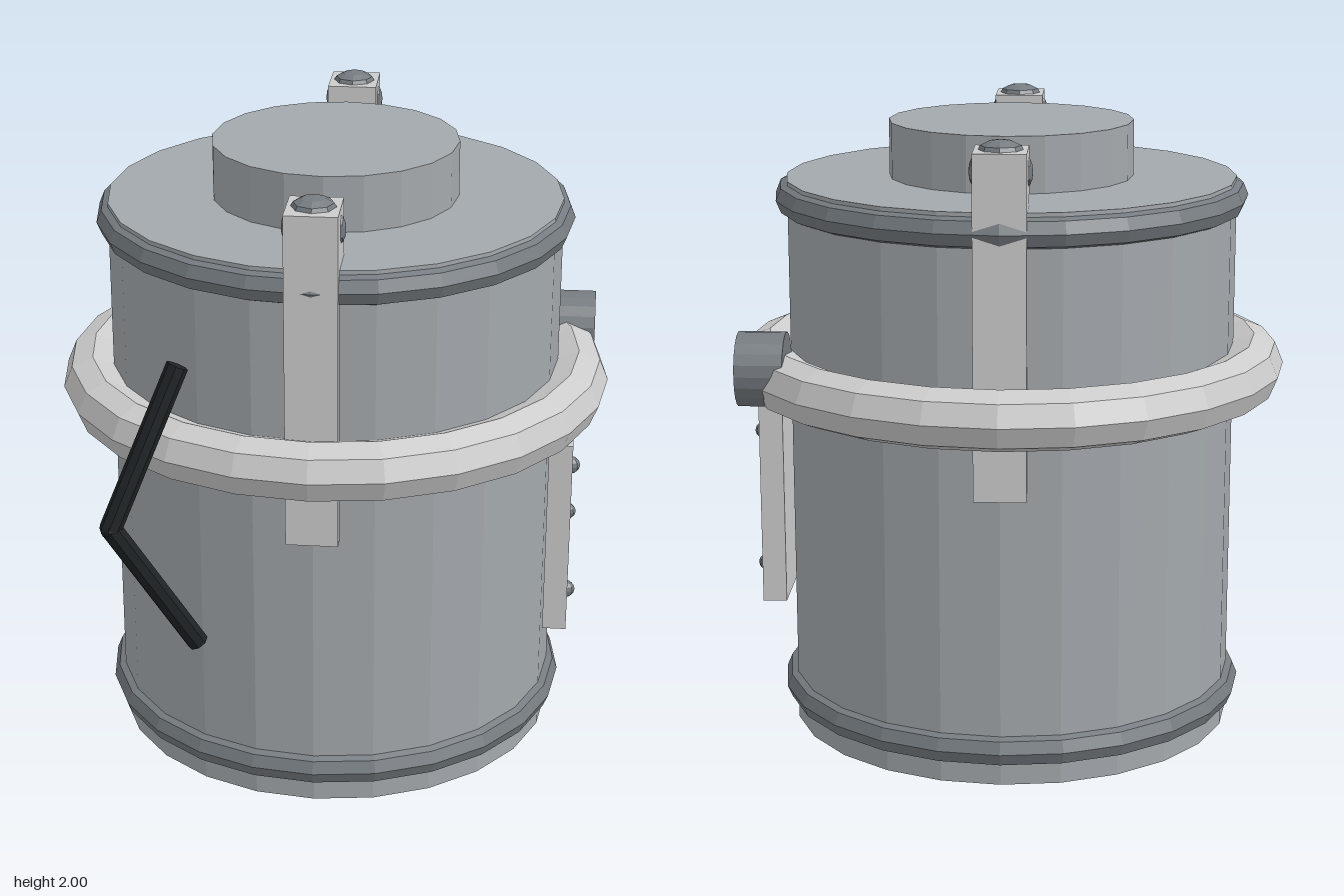
import * as THREE from 'three';

const ZC = -0.015; // axis of the drum

const material = (color) => new THREE.MeshStandardMaterial({ color, flatShading: true });
const light = material(0xcccccc);
const steel = material(0xa3a8ac);
const dark = material(0x757b80);
const black = material(0x1e2224);

function add(parent, name, geometry, mat, x = 0, y = 0, z = 0) {
  const mesh = new THREE.Mesh(geometry, mat);
  mesh.name = name;
  mesh.position.set(x, y, z);
  parent.add(mesh);
  return mesh;
}

// Horizontal hoop around the drum
function hoop(parent, name, radius, tube, mat, y) {
  const geometry = new THREE.TorusGeometry(radius, tube, 8, 24).rotateX(Math.PI / 2);
  return add(parent, name, geometry, mat, 0, y, 0);
}

// Straight rod between two points
function rod(parent, name, a, b, radius, mat) {
  const dir = b.clone().sub(a);
  const mesh = add(parent, name, new THREE.CylinderGeometry(radius, radius, dir.length(), 8), mat);
  mesh.position.copy(a).add(b).multiplyScalar(0.5);
  mesh.quaternion.setFromUnitVectors(new THREE.Vector3(0, 1, 0), dir.normalize());
  return mesh;
}

// Clamp on the +z side: strap, top block and bolts
function createClamp(name) {
  const clamp = new THREE.Group();
  clamp.name = name;
  add(clamp, 'strap', new THREE.BoxGeometry(0.16, 1.05, 0.05), light, 0, 1.445, 0.723);
  add(clamp, 'clampBlock', new THREE.BoxGeometry(0.16, 0.18, 0.18), light, 0, 1.88, 0.658);
  const topBolt = new THREE.SphereGeometry(0.07, 8, 6).scale(1, 0.5, 1);
  add(clamp, 'topBolt', topBolt, dark, 0, 1.965, 0.655);
  for (const side of [-1, 1]) {
    const sideBolt = new THREE.SphereGeometry(1, 6, 6).rotateZ(Math.PI / 2).scale(0.018, 0.045, 0.028);
    add(clamp, 'sideBolt', sideBolt, dark, side * 0.077, 1.905, 0.66);
  }
  return clamp;
}

export function createModel() {
  const model = new THREE.Group();
  model.name = 'drum';

  // Drum, lid cap and hoops share one axis
  const body = new THREE.Group();
  body.name = 'body';
  body.position.z = ZC;
  model.add(body);
  add(body, 'shell', new THREE.CylinderGeometry(0.72, 0.72, 1.793, 24), steel, 0, 0.8965, 0);
  add(body, 'lidCap', new THREE.CylinderGeometry(0.39, 0.39, 0.19, 20), steel, 0, 1.875, 0);
  hoop(body, 'topHoop', 0.703, 0.054, dark, 1.733);
  hoop(body, 'bottomHoop', 0.703, 0.054, dark, 0.112);
  hoop(body, 'middleRing', 0.787, 0.095, light, 1.185);

  // Clamps at front and back
  const frontClamp = createClamp('frontClamp');
  const backClamp = createClamp('backClamp');
  backClamp.rotation.y = Math.PI;
  // both sit slightly off the drum axis
  frontClamp.position.z = backClamp.position.z = -0.01;
  model.add(frontClamp, backClamp);

  // Side plate with four bolts
  const plate = new THREE.Group();
  plate.name = 'sidePlate';
  model.add(plate);
  add(plate, 'plate', new THREE.BoxGeometry(0.075, 0.645, 0.74), light, 0.74, 0.79, -0.01);
  for (const y of [0.57, 1.01]) {
    for (const z of [0.275, -0.295]) {
      add(plate, 'plateBolt', new THREE.SphereGeometry(0.027, 8, 6), dark, 0.775, y, z);
    }
  }

  // Round knob beside the ring
  const knob = new THREE.CylinderGeometry(0.118, 0.118, 0.15, 20).rotateZ(Math.PI / 2);
  add(model, 'knob', knob, dark, 0.762, 1.228, -0.365);

  // Bent handle
  const handle = new THREE.Group();
  handle.name = 'handle';
  model.add(handle);
  const top = new THREE.Vector3(-0.397, 1.49, 0.727);
  const elbow = new THREE.Vector3(-0.59, 1.01, 0.858);
  const bottom = new THREE.Vector3(-0.355, 0.57, 0.737);
  rod(handle, 'upperGrip', elbow, top, 0.034, black);
  rod(handle, 'lowerGrip', elbow, bottom, 0.034, black);
  add(handle, 'elbow', new THREE.SphereGeometry(0.034, 8, 6), black, elbow.x, elbow.y, elbow.z);

  return model;
}
